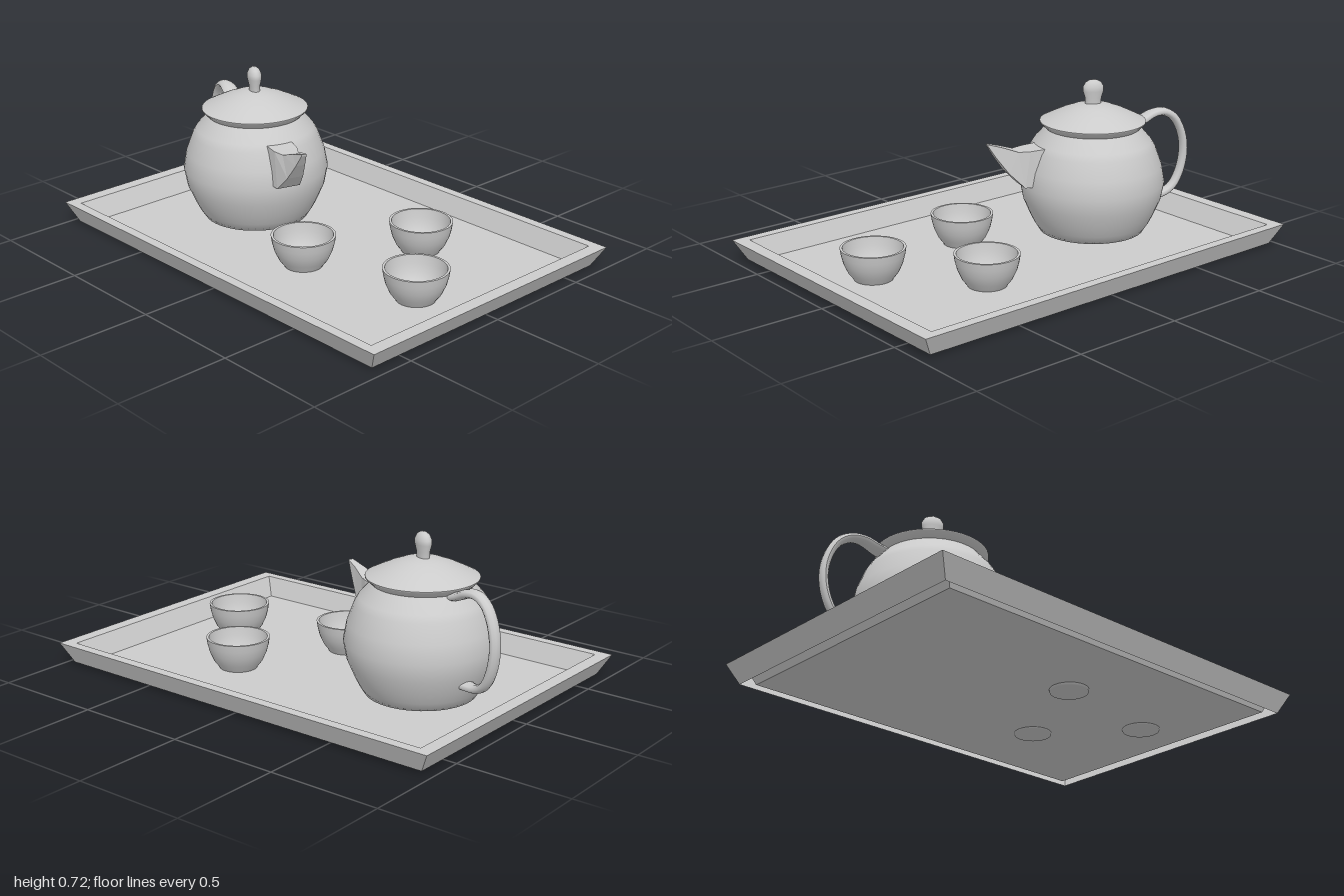
import * as THREE from 'three';

const mat = new THREE.MeshStandardMaterial({ color: 0xcccccc, side: THREE.DoubleSide });
const flatMat = new THREE.MeshStandardMaterial({ color: 0xcccccc, side: THREE.DoubleSide, flatShading: true });

function add(parent, name, geometry, material = mat) {
  const mesh = new THREE.Mesh(geometry, material);
  mesh.name = name;
  parent.add(mesh);
  return mesh;
}

function lathe(points, segments = 48) {
  return new THREE.LatheGeometry(points.map(([r, y]) => new THREE.Vector2(r, y)), segments);
}

// Joins four-cornered rings in order and closes the last one
function loft(rings) {
  const index = [];
  for (let i = 0; i < rings.length - 1; i++) {
    for (let j = 0; j < 4; j++) {
      const a = i * 4 + j, b = i * 4 + (j + 1) % 4;
      index.push(a, b, b + 4, a, b + 4, a + 4);
    }
  }
  const e = (rings.length - 1) * 4;
  index.push(e, e + 1, e + 2, e, e + 2, e + 3);
  const geo = new THREE.BufferGeometry();
  geo.setAttribute('position', new THREE.Float32BufferAttribute(rings.flat(2), 3));
  geo.setIndex(index);
  const out = geo.toNonIndexed();
  out.computeVertexNormals();
  return out;
}

function createTray() {
  // Half width, height, half depth: outer foot, outer rim, inner rim, floor
  const rings = [[0.95, 0.01, 0.66], [1, 0.1, 0.7], [0.94, 0.1, 0.655], [0.895, 0.012, 0.62]]
    .map(([x, y, z]) => [[x, y, z], [x, y, -z], [-x, y, -z], [-x, y, z]]);
  const tray = new THREE.Group();
  tray.name = 'tray';
  add(tray, 'trayShell', loft(rings), flatMat);
  return tray;
}

function createTeapot() {
  const pot = new THREE.Group();
  pot.name = 'teapot';

  // Round body
  add(pot, 'body', lathe([
    [0, 0.02], [0.24, 0.02], [0.265, 0.06], [0.285, 0.1], [0.315, 0.17], [0.33, 0.25],
    [0.315, 0.33], [0.285, 0.41], [0.267, 0.44], [0.215, 0.5],
  ]));

  // Lid with a flared rim
  add(pot, 'lidRim', lathe([[0.2, 0.5], [0.215, 0.5], [0.24, 0.525], [0.24, 0.53]]));
  add(pot, 'lid', lathe([[0.24, 0.53], [0.19, 0.555], [0.145, 0.576], [0.09, 0.597], [0.04, 0.608], [0, 0.61]]));

  // Oval knob
  const knob = add(pot, 'knob', lathe([
    [0.036, 0.6], [0.038, 0.635], [0.048, 0.665], [0.048, 0.685], [0.036, 0.705], [0.018, 0.715], [0, 0.717],
  ], 24));
  knob.scale.z = 0.65;
  knob.rotation.y = -0.15;

  // Angular spout: top x, top y, bottom x, bottom y, half width
  const sections = [
    [0.2, 0.44, 0.26, 0.265, 0.065],
    [0.33, 0.432, 0.355, 0.265, 0.055],
    [0.38, 0.43, 0.425, 0.335, 0.038],
    [0.45, 0.455, 0.48, 0.41, 0.022],
    [0.517, 0.474, 0.515, 0.465, 0.012],
  ];
  add(pot, 'spout', loft(sections.map(([tx, ty, bx, by, w]) =>
    [[bx, by, -w], [tx, ty, -w], [tx, ty, w], [bx, by, w]])), flatMat);

  // Strap handle, wider where it meets the shoulder
  const path = new THREE.CatmullRomCurve3([
    [-0.19, 0.485], [-0.25, 0.505], [-0.3, 0.528], [-0.36, 0.532], [-0.415, 0.5], [-0.455, 0.43], [-0.47, 0.34],
    [-0.453, 0.24], [-0.415, 0.17], [-0.365, 0.14], [-0.28, 0.135],
  ].map(([x, y]) => new THREE.Vector3(x, y, 0)));
  const handle = new THREE.TubeGeometry(path, 40, 0.019, 10);
  const p = handle.attributes.position;
  for (let i = 0; i < p.count; i++) {
    const flare = THREE.MathUtils.smoothstep(p.getX(i), -0.4, -0.22);
    p.setZ(i, p.getZ(i) * (1.4 + 0.9 * flare));
  }
  handle.computeVertexNormals();
  add(pot, 'handle', handle);

  pot.position.x = -0.475;
  pot.rotation.y = -0.295;
  return pot;
}

function createCup(x, base, z) {
  const cup = new THREE.Group();
  cup.name = 'cup';
  add(cup, 'cupOutside', lathe([
    [0, base], [0.082, base], [0.085, 0.015], [0.108, 0.045], [0.126, 0.085], [0.135, 0.12], [0.14, 0.152],
  ], 40));
  add(cup, 'cupRim', lathe([[0.14, 0.152], [0.129, 0.152]], 40));
  add(cup, 'cupInside', lathe([
    [0.129, 0.152], [0.123, 0.115], [0.112, 0.08], [0.095, 0.05], [0.07, 0.03], [0, 0.03],
  ], 40));
  cup.position.set(x, 0, z);
  return cup;
}

export function createModel() {
  const model = new THREE.Group();
  model.name = 'teaSet';
  model.add(createTray(), createTeapot());
  for (const [x, base, z] of [[0.1, 0, 0.23], [0.34, 0.005, -0.245], [0.66, 0.005, 0.12]]) {
    model.add(createCup(x, base, z));
  }
  return model;
}
